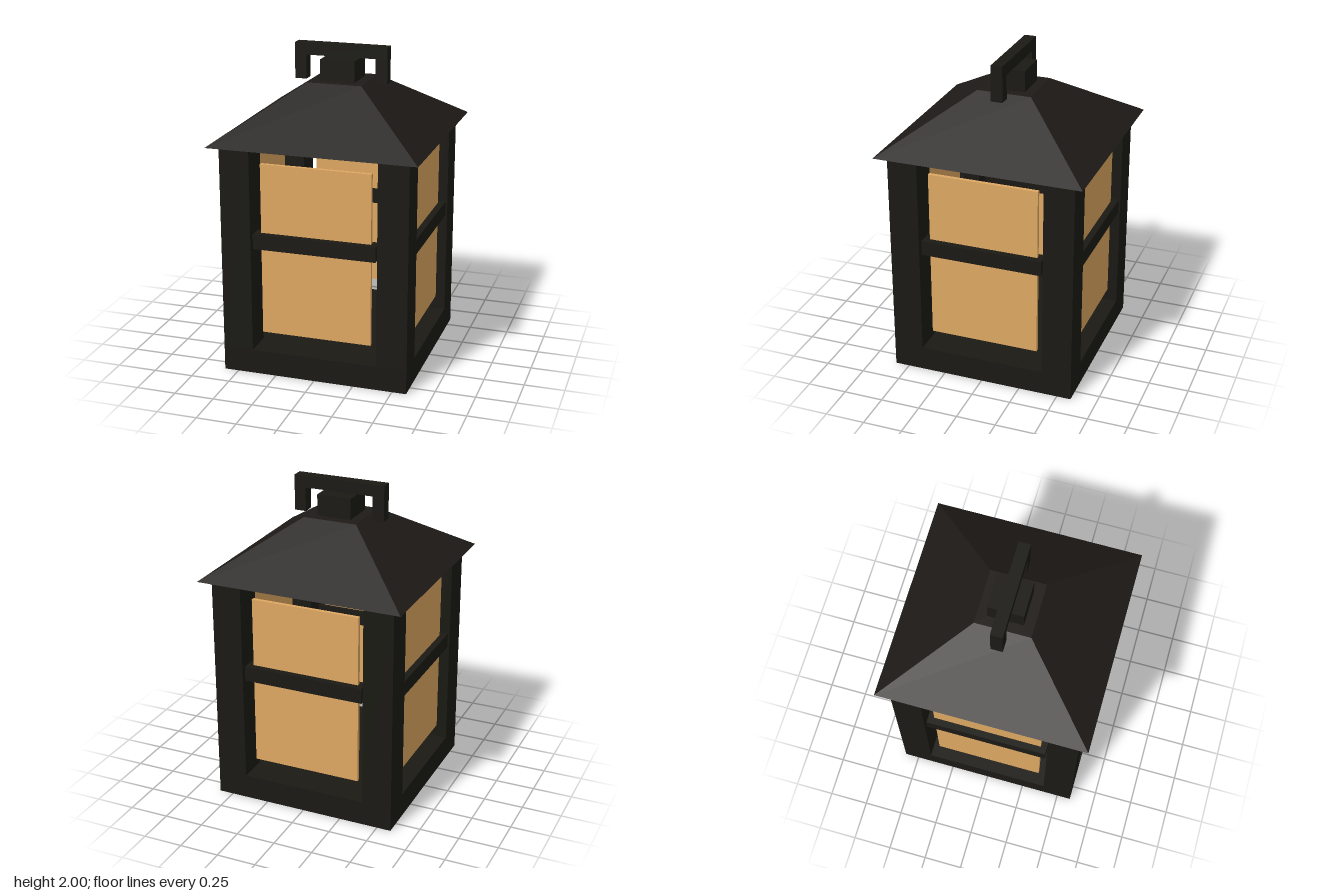
import * as THREE from 'three';

export function createModel() {
  const model = new THREE.Group();
  model.name = 'lantern';

  const metal = new THREE.MeshStandardMaterial({ color: 0x1a1914 });
  const roofMetal = new THREE.MeshStandardMaterial({ color: 0x1e1a17, flatShading: true });
  const amber = new THREE.MeshStandardMaterial({ color: 0xdea862 });

  // Box given by its minimum and maximum corners
  function box(name, [x0, y0, z0], [x1, y1, z1], material = metal, parent = model) {
    const mesh = new THREE.Mesh(new THREE.BoxGeometry(x1 - x0, y1 - y0, z1 - z0), material);
    mesh.position.set((x0 + x1) / 2, (y0 + y1) / 2, (z0 + z1) / 2);
    mesh.name = name;
    parent.add(mesh);
    return mesh;
  }

  const half = 0.59, inner = 0.4, baseTop = 0.155, eaves = 1.46, roofTop = 1.785;

  // Solid base and four corner posts
  box('base', [-half, 0, -half], [half, baseTop, half]);
  for (const sx of [-1, 1]) {
    for (const sz of [-1, 1]) {
      const post = box('cornerPost', [inner, baseTop, inner], [half, eaves, half]);
      post.position.x *= sx;
      post.position.z *= sz;
    }
  }

  // A glass pane with a crossbar on each side
  for (let i = 0; i < 4; i++) {
    const side = new THREE.Group();
    side.name = 'windowSide';
    side.rotation.y = (i * Math.PI) / 2;
    box('pane', [-0.348, 0.265, 0.515], [0.348, 1.355, 0.54], amber, side);
    box('crossbar', [-0.387, 0.825, 0.49], [0.387, 0.92, 0.582], metal, side);
    model.add(side);
  }

  // Hipped roof: a four-sided truncated pyramid
  const roofGeometry = new THREE.CylinderGeometry(
    0.172 * Math.SQRT2, 0.654 * Math.SQRT2, roofTop - eaves, 4);
  roofGeometry.rotateY(Math.PI / 4);
  const roof = new THREE.Mesh(roofGeometry, roofMetal);
  roof.position.y = (eaves + roofTop) / 2;
  roof.name = 'roof';
  model.add(roof);

  // Cap block and carrying handle
  box('roofCap', [-0.11, roofTop, -0.11], [0.11, 1.918, 0.11]);
  const handle = new THREE.Group();
  handle.name = 'handle';
  box('handleGrip', [-0.296, 1.926, -0.037], [0.296, 2, 0.037], metal, handle);
  for (const s of [-1, 1]) {
    const leg = box('handleLeg', [0.222, 1.775, -0.037], [0.296, 1.926, 0.037], metal, handle);
    leg.position.x *= s;
  }
  model.add(handle);

  return model;
}
